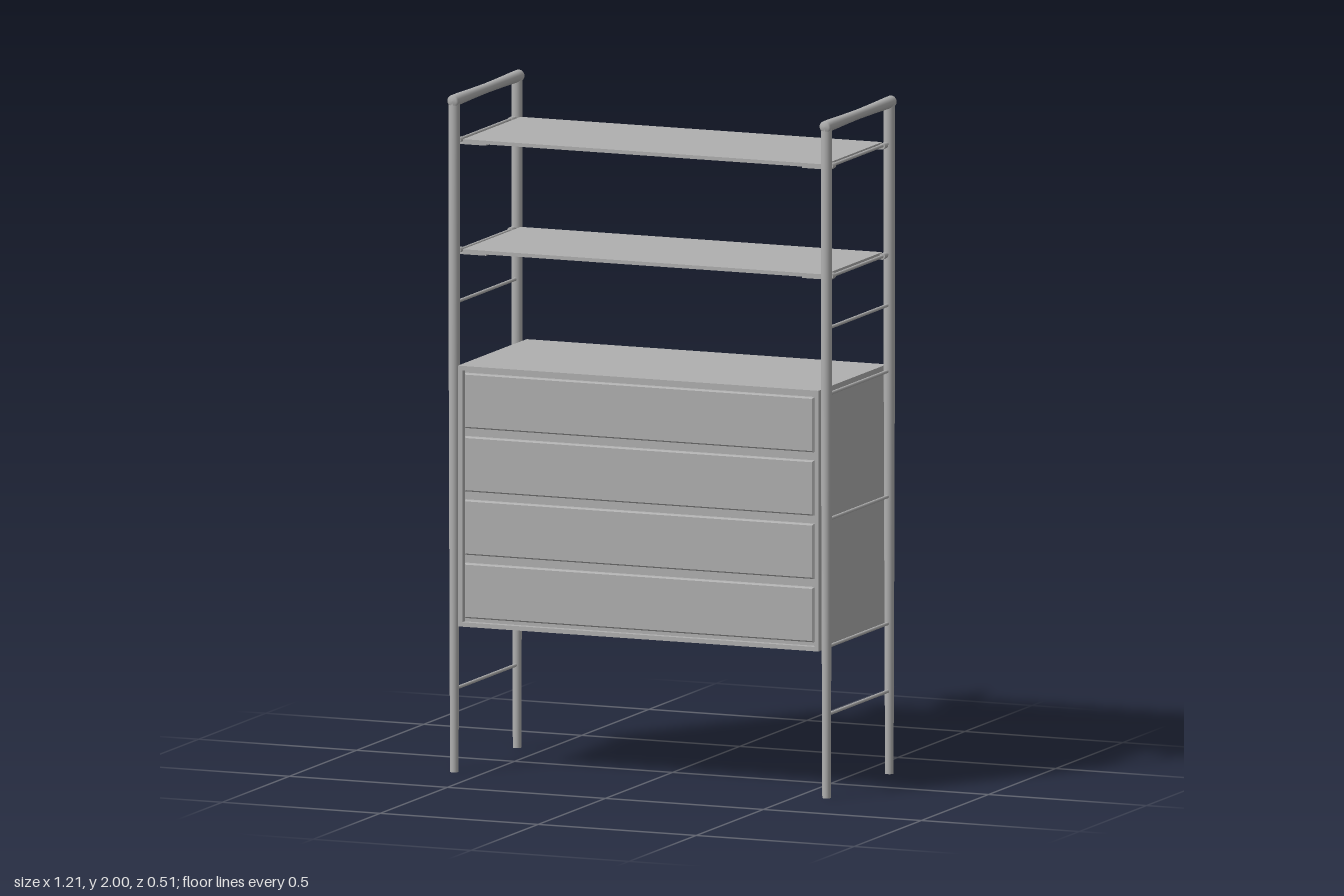
import * as THREE from 'three';

const grey = new THREE.MeshStandardMaterial({ color: 0xb0b0b0 });
grey.name = 'satin grey';

function add(parent, name, geometry, x = 0, y = 0, z = 0) {
  const mesh = new THREE.Mesh(geometry, grey);
  mesh.name = name;
  mesh.position.set(x, y, z);
  parent.add(mesh);
  return mesh;
}

const box = (w, h, d) => new THREE.BoxGeometry(w, h, d);

// Rod lying along z between two depths
function rodAlongZ(parent, name, radius, z0, z1, x, y) {
  const g = new THREE.CylinderGeometry(radius, radius, z1 - z0, 12).rotateX(Math.PI / 2);
  return add(parent, name, g, x, y, (z0 + z1) / 2);
}

const POST_X = 0.589, FRONT_Z = 0.239, BACK_Z = -0.228;
const RUNGS = [0.245, 0.445, 0.82, 1.19, 1.385, 1.535, 1.862];

function makeLadder(side) {
  const ladder = new THREE.Group();
  ladder.name = side > 0 ? 'leftLadder' : 'rightLadder';
  const x = side * POST_X;

  // Posts: slim at the foot, thicker toward the top
  const postProfile = [[0, 0], [0.0125, 0], [0.0125, 0], [0.014, 0.4], [0.0165, 1.2], [0.0165, 1.983], [0, 1.983]]
    .map(([r, y]) => new THREE.Vector2(r, y));
  add(ladder, 'frontPost', new THREE.LatheGeometry(postProfile, 20), x, 0, FRONT_Z);
  add(ladder, 'backPost', new THREE.LatheGeometry(postProfile, 20), x, 0, BACK_Z);

  // Waisted handrail joining the post tops
  const railProfile = [[0, -0.252], [0.013, -0.251], [0.0175, -0.246], [0.0175, -0.21], [0.0155, -0.1], [0.0145, 0],
    [0.0155, 0.1], [0.0175, 0.21], [0.0175, 0.246], [0.013, 0.251], [0, 0.252]]
    .map(([r, y]) => new THREE.Vector2(r, y));
  add(ladder, 'topRail', new THREE.LatheGeometry(railProfile, 20).rotateX(Math.PI / 2), x, 1.9825, 0.004);

  // Thin rungs, ending in small pegs behind the back post
  for (const y of RUNGS) rodAlongZ(ladder, 'rung', 0.005, -0.25, FRONT_Z, x, y);
  return ladder;
}

function makeShelf(y) {
  const shelf = new THREE.Group();
  shelf.name = 'shelf';
  add(shelf, 'shelfBoard', box(1.144, 0.011, 0.43), 0, y, 0);
  for (const side of [-1, 1]) {
    for (const z of [0.2, -0.187]) {
      // Hook plate under the corner, reaching out to the rung
      add(shelf, 'shelfHook', box(0.09, 0.005, 0.022), side * 0.545, y - 0.0075, z);
      rodAlongZ(shelf, 'hookCollar', 0.009, z - 0.012, z + 0.012, side * POST_X, y);
    }
  }
  return shelf;
}

function makeCabinet() {
  const cabinet = new THREE.Group();
  cabinet.name = 'cabinet';
  const w = 0.57, y0 = 0.433, y1 = 1.203, t = 0.013;

  // Open carcass
  const outline = new THREE.Shape([[-w, y0], [w, y0], [w, y1], [-w, y1]].map(p => new THREE.Vector2(...p)));
  outline.holes.push(new THREE.Path([[-w + t, y0 + t], [-w + t, y1 - t], [w - t, y1 - t], [w - t, y0 + t]]
    .map(p => new THREE.Vector2(...p))));
  const carcass = new THREE.ExtrudeGeometry(outline, { depth: 0.498, bevelEnabled: false });
  add(cabinet, 'carcass', carcass, 0, 0, -0.243);
  add(cabinet, 'backPanel', box(2 * w, y1 - y0, 0.012), 0, (y0 + y1) / 2, -0.249);
  add(cabinet, 'innerFront', box(2 * (w - t), y1 - y0 - 2 * t, 0.01), 0, (y0 + y1) / 2, 0.231);

  // Four softly bevelled drawer fronts
  const b = 0.004, dw = 0.552 - b, dh = 0.081 - b;
  const face = new THREE.Shape([[-dw, -dh], [dw, -dh], [dw, dh], [-dw, dh]].map(p => new THREE.Vector2(...p)));
  const front = new THREE.ExtrudeGeometry(face, { depth: 0.01, bevelThickness: b, bevelSize: b, bevelSegments: 1 });
  for (let i = 0; i < 4; i++) add(cabinet, 'drawerFront', front, 0, 0.539 + i * 0.187, 0.237);
  return cabinet;
}

export function createModel() {
  const model = new THREE.Group();
  model.name = 'shelvingUnit';
  model.add(makeLadder(1), makeLadder(-1), makeCabinet(), makeShelf(1.535), makeShelf(1.86));
  return model;
}
